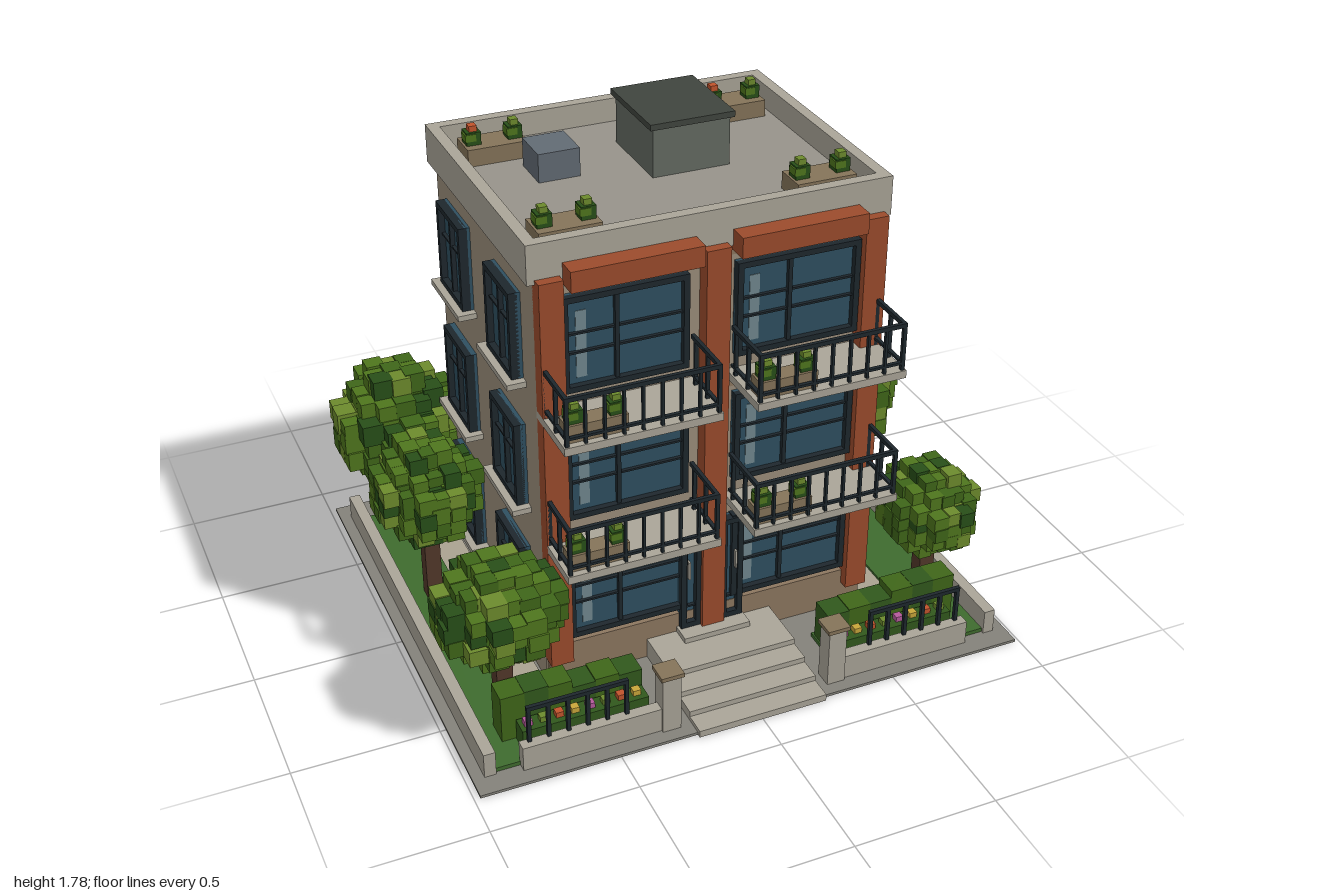
import * as THREE from 'three';
import { mergeGeometries } from 'three/addons/utils/BufferGeometryUtils.js';

const C = {
  wall: 0x9c8e7b, patch: 0x8d7760, brick: 0x9c4c2c, stone: 0xaaa598, deck: 0x97938a, pave: 0x84827a, path: 0xaaa391,
  frame: 0x1e272d, glass: 0x2f5061, shine: 0x71888f, grass: 0x3f6b2e, trunk: 0x52382a, planter: 0x857459,
  hedge: 0x31581c, metal: 0x656b62, cap: 0x40453f, vent: 0x626b74,
};
const LEAVES = [0x4f761d, 0x3f6619, 0x6d8b2d, 0x284f18];
const FLOWERS = [0xb65a9c, 0xc9a63a, 0xc2542c];
const mats = new Map();
function mat(color) {
  if (!mats.has(color)) mats.set(color, new THREE.MeshStandardMaterial({ color, flatShading: true }));
  return mats.get(color);
}
let seed = 7;
function rand() {
  seed = (seed * 16807) % 2147483647;
  return seed / 2147483647;
}

// Box given by its limits on each axis
function box(parent, name, color, x0, x1, y0, y1, z0, z1) {
  const m = new THREE.Mesh(new THREE.BoxGeometry(x1 - x0, y1 - y0, z1 - z0), mat(color));
  m.position.set((x0 + x1) / 2, (y0 + y1) / 2, (z0 + z1) / 2);
  m.name = name;
  parent.add(m);
  return m;
}
function sub(parent, name) {
  const g = new THREE.Group();
  g.name = name;
  parent.add(g);
  return g;
}

// Glazed window facing +z: pane, outer frame, bars at given fractions
function windowUnit(parent, name, x0, x1, y0, y1, z, vBars, hBars, shine) {
  const g = sub(parent, name), t = 0.02, f = 0.007;
  box(g, 'glass', C.glass, x0, x1, y0, y1, z - 0.01, z + 0.008);
  for (const [a, b] of [[x0, x0 + t], [x1 - t, x1]]) box(g, 'frameSide', C.frame, a, b, y0, y1, z, z + 0.03);
  for (const [a, b] of [[y0, y0 + t], [y1 - t, y1]]) box(g, 'frameRail', C.frame, x0, x1, a, b, z, z + 0.03);
  for (const v of vBars) {
    const x = x0 + (x1 - x0) * v;
    box(g, 'mullion', C.frame, x - f, x + f, y0, y1, z, z + 0.024);
  }
  for (const h of hBars) {
    const y = y0 + (y1 - y0) * h;
    box(g, 'transom', C.frame, x0, x1, y - f / 2, y + f / 2, z, z + 0.02);
  }
  if (shine) box(g, 'reflection', C.shine, x0 + 0.05, x0 + 0.085, y0 + 0.04, y1 - 0.06, z, z + 0.01);
  return g;
}

// Leafy tuft made of a few cubes, with an optional flower
function plant(parent, x, y, z, s, flower) {
  const g = sub(parent, 'plant');
  box(g, 'leaves', LEAVES[3], x - s / 2, x + s / 2, y, y + s * 0.9, z - s / 2, z + s / 2);
  box(g, 'leaves', LEAVES[0], x - s * 0.6, x + s * 0.15, y + s * 0.3, y + s * 0.8, z - s * 0.3, z + s * 0.55);
  box(g, 'tip', flower ?? LEAVES[2], x - s * 0.25, x + s * 0.3, y + s * 0.8, y + s * 1.3, z - s * 0.3, z + s * 0.3);
}
function planter(parent, x0, x1, y, z0, z1, h, s, flower) {
  const g = sub(parent, 'planter');
  box(g, 'planterBox', C.planter, x0, x1, y, y + h, z0, z1);
  plant(g, x0 + 0.033, y + h, (z0 + z1) / 2, s, flower);
  plant(g, x1 - 0.033, y + h, (z0 + z1) / 2, s);
}

// Tree with a blocky crown, cubes merged per leaf colour
function tree(parent, x, y, z, rx, ry, rz) {
  const g = sub(parent, 'tree'), n = 3, lists = LEAVES.map(() => []);
  box(g, 'trunk', C.trunk, x - 0.028, x + 0.028, 0.01, y - ry * 0.4, z - 0.028, z + 0.028);
  const k = n + 0.5;
  for (let i = -n; i <= n; i++) for (let j = -n; j <= n; j++) for (let l = -n; l <= n; l++) {
    const d = Math.hypot(i, j, l);
    if (d > n + 0.35 || d < n - 1.6) continue;
    const s = 1.02 + rand() * 0.25;
    const b = new THREE.BoxGeometry(rx / k * s, ry / k * s, rz / k * s);
    b.translate(x + (i + rand() * 0.3 - 0.15) * rx / k, y + (j + rand() * 0.3 - 0.15) * ry / k, z + (l + rand() * 0.3 - 0.15) * rz / k);
    const r = rand();
    lists[r < 0.42 ? 0 : r < 0.72 ? 1 : r < 0.88 ? 2 : 3].push(b);
  }
  lists.forEach((list, i) => {
    if (!list.length) return;
    const m = new THREE.Mesh(mergeGeometries(list), mat(LEAVES[i]));
    m.scale.setScalar(1);
    m.name = 'crown';
    g.add(m);
  });
}

// Balcony slab, railing on three sides, planter
function balcony(parent, x0, x1, y) {
  const g = sub(parent, 'balcony'), r0 = y + 0.05, top = y + 0.2, t = 0.013, zf = 0.64;
  box(g, 'slab', C.stone, x0 - 0.005, x1 + 0.005, y, y + 0.028, 0.4, 0.645);
  for (const [a, b] of [[r0, r0 + 0.009], [top - 0.015, top]]) {
    box(g, 'frontRail', C.frame, x0, x1, a, b, zf - t, zf);
    box(g, 'sideRail', C.frame, x0, x0 + t, a, b, 0.43, zf);
    box(g, 'sideRail', C.frame, x1 - t, x1, a, b, 0.43, zf);
  }
  for (let i = 0; i <= 8; i++) {
    const x = x0 + (x1 - x0 - t) * i / 8, w = i % 8 ? 0.009 : t;
    box(g, 'frontPost', C.frame, x, x + w, y + 0.02, top, zf - t, zf);
  }
  for (const z of [0.455, 0.545]) for (const x of [x0, x1 - t])
    box(g, 'sidePost', C.frame, x, x + t, y + 0.02, top, z - 0.005, z + 0.005);
  planter(g, x0 + 0.012, x0 + 0.215, y + 0.028, 0.555, 0.622, 0.06, 0.05);
}

export function createModel() {
  const root = new THREE.Group();
  root.name = 'apartmentBuilding';

  // Ground, lawns and paving
  const site = sub(root, 'site');
  box(site, 'baseSlab', C.pave, -0.98, 0.985, 0, 0.01, -0.87, 0.85);
  for (const s of [-1, 1]) {
    const span = (a, b) => [Math.min(s * a, s * b), Math.max(s * a, s * b)];
    const part = (name, color, a, b, ...rest) => box(site, name, color, ...span(a, b), ...rest);
    part('sideLawn', C.grass, 0.71, 0.905, 0.008, 0.025, -0.75, 0.765);
    part('sidePath', C.path, 0.6, 0.71, 0.008, 0.016, -0.53, 0.45);
    part('frontLawn', C.grass, 0.34, 0.72, 0.008, 0.025, 0.55, 0.755);
    part('sideWall', C.stone, 0.9, 0.94, 0, 0.1, -0.795, 0.775);
    part('frontWall', C.stone, 0.3, 0.815, 0, 0.1, 0.755, 0.795);
    part('gatePillar', C.stone, 0.27, 0.335, 0, 0.225, 0.74, 0.805);
    part('pillarCap', C.planter, 0.262, 0.343, 0.225, 0.24, 0.732, 0.813);
    // Fence over the low wall
    part('fenceRail', C.frame, 0.44, 0.79, 0.225, 0.24, 0.758, 0.772);
    for (let i = 0; i < 6; i++) {
      const x = 0.44 + i * 0.0672;
      part('fencePost', C.frame, x, x + 0.013, 0.09, 0.23, 0.758, 0.772);
    }
    // Hedge blocks and flower bed
    for (let i = 0; i < 6; i++) {
      const x = 0.345 + i * 0.082;
      part('hedge', [C.hedge, LEAVES[1]][i % 2], x, x + 0.083, 0.02, 0.165 + (i > 2 ? 0.03 : 0) + rand() * 0.01, 0.565, 0.655);
    }
    part('flowerBed', C.hedge, 0.35, 0.79, 0.02, 0.105, 0.66, 0.725);
    for (let i = 0; i < 8; i++) {
      const x = 0.37 + i * 0.054;
      part('flower', [...FLOWERS, LEAVES[2]][(i + (s > 0 ? 0 : 1)) % 4], x, x + 0.027, 0.1, 0.125, 0.678, 0.705);
    }
  }

  // Entrance steps and landing
  const steps = sub(root, 'entranceSteps');
  [0.865, 0.785, 0.705, 0.625].forEach((z, i) =>
    box(steps, 'step', C.stone, -0.23, 0.235, 0, 0.025 + i * 0.02, 0.4, z));
  box(steps, 'threshold', C.stone, -0.12, 0.125, 0.08, 0.105, 0.4, 0.5);

  // Main block with brick piers and plinth
  const house = sub(root, 'building');
  box(house, 'walls', C.wall, -0.59, 0.595, 0, 1.56, -0.535, 0.405);
  box(house, 'plinth', C.patch, -0.585, 0.59, 0.01, 0.16, 0.4, 0.425);
  for (const [a, b] of [[-0.59, -0.51], [-0.038, 0.045], [0.518, 0.597]])
    box(house, 'brickPier', C.brick, a, b, 0.105, 1.55, 0.4, 0.46);
  for (const [a, b] of [[-0.5, -0.06], [0.065, 0.505]])
    box(house, 'brickCanopy', C.brick, a, b, 1.52, 1.592, 0.4, 0.495);
  for (let f = 0; f < 3; f++) for (let i = 0; i < 6; i++) {
    const x = -0.5 + i * 0.165 + rand() * 0.05;
    if (f || Math.abs(x) > 0.15) box(house, 'wallPatch', C.patch, x, x + 0.07, 0.535 + f * 0.48, 0.565 + f * 0.48, 0.4, 0.408);
  }

  // Front windows, balconies and doors
  for (let f = 0; f < 3; f++) {
    const y = 0.185 + f * 0.477;
    for (const [a, b] of [[-0.51, -0.085], [0.08, 0.515]])
      windowUnit(house, 'frontWindow', a, b, y, y + 0.335, 0.408, [0.43], [0.4, 0.6], true);
    if (f) for (const [a, b] of [[-0.585, -0.065], [0.063, 0.583]])
      balcony(house, a, b, 0.575 + (f - 1) * 0.48);
  }
  for (const [a, b] of [[-0.11, -0.035], [0.04, 0.12]]) {
    const door = windowUnit(house, 'entranceDoor', a, b, 0.105, 0.515, 0.415, [], [0.2], false);
    box(door, 'handle', C.stone, a < 0 ? a + 0.025 : b - 0.032, a < 0 ? a + 0.032 : b - 0.025, 0.31, 0.38, 0.43, 0.45);
  }

  // Windows and sills on the right-hand wall
  const side = sub(house, 'sideWindows');
  side.rotation.y = -Math.PI / 2;
  for (let f = 0; f < 3; f++) for (const c of [-0.315, 0.168]) {
    const y = 0.185 + f * 0.477;
    const w = windowUnit(side, 'sideWindow', c - 0.12, c + 0.12, y, y + 0.305, 0.6, [0.5], [0.62], false);
    box(w, 'sill', C.stone, c - 0.147, c + 0.147, y - 0.02, y, 0.58, 0.655);
  }

  // Roof parapet, deck and roof equipment
  const roof = sub(root, 'roof');
  const rect = (P, x0, x1, z0, z1) => {
    const p = new P();
    return p.moveTo(x0, -z1).lineTo(x1, -z1).lineTo(x1, -z0).lineTo(x0, -z0).closePath();
  };
  const ring = new THREE.Shape([[-0.615, -0.425], [0.622, -0.425], [0.622, 0.555], [-0.615, 0.555]].map(p => new THREE.Vector2(...p)));
  ring.holes.push(new THREE.Path([[-0.575, -0.385], [-0.575, 0.515], [0.582, 0.515], [0.582, -0.385]].map(p => new THREE.Vector2(...p))));
  const parapet = new THREE.Mesh(new THREE.ExtrudeGeometry(ring, { depth: 0.135, bevelEnabled: false }), mat(C.stone));
  parapet.rotation.x = -Math.PI / 2;
  parapet.position.y = 1.535;
  parapet.name = 'parapet';
  roof.add(parapet);
  box(roof, 'deck', C.deck, -0.59, 0.595, 1.55, 1.585, -0.53, 0.4);
  box(roof, 'stairHouse', C.metal, -0.01, 0.265, 1.58, 1.755, -0.345, -0.03);
  box(roof, 'stairHouseCap', C.cap, -0.022, 0.278, 1.755, 1.776, -0.36, -0.02);
  box(roof, 'ventBox', C.vent, -0.365, -0.22, 1.58, 1.685, -0.29, -0.14);
  for (const x of [-0.535, 0.34]) for (const z of [-0.46, 0.205])
    planter(roof, x, x + 0.21, 1.585, z, z + 0.115, 0.06, 0.05, z < 0 ? FLOWERS[2] : undefined);

  // Trees along both sides
  for (const t of [
    [0.795, 0.42, 0.515, 0.155, 0.155, 0.175], [0.81, 0.505, -0.18, 0.18, 0.19, 0.21], [0.8, 0.49, -0.575, 0.17, 0.195, 0.185],
    [-0.785, 0.52, -0.58, 0.21, 0.225, 0.21], [-0.8, 0.48, -0.195, 0.175, 0.18, 0.2], [-0.785, 0.46, 0.525, 0.195, 0.17, 0.2],
  ]) tree(root, ...t);
  return root;
}
